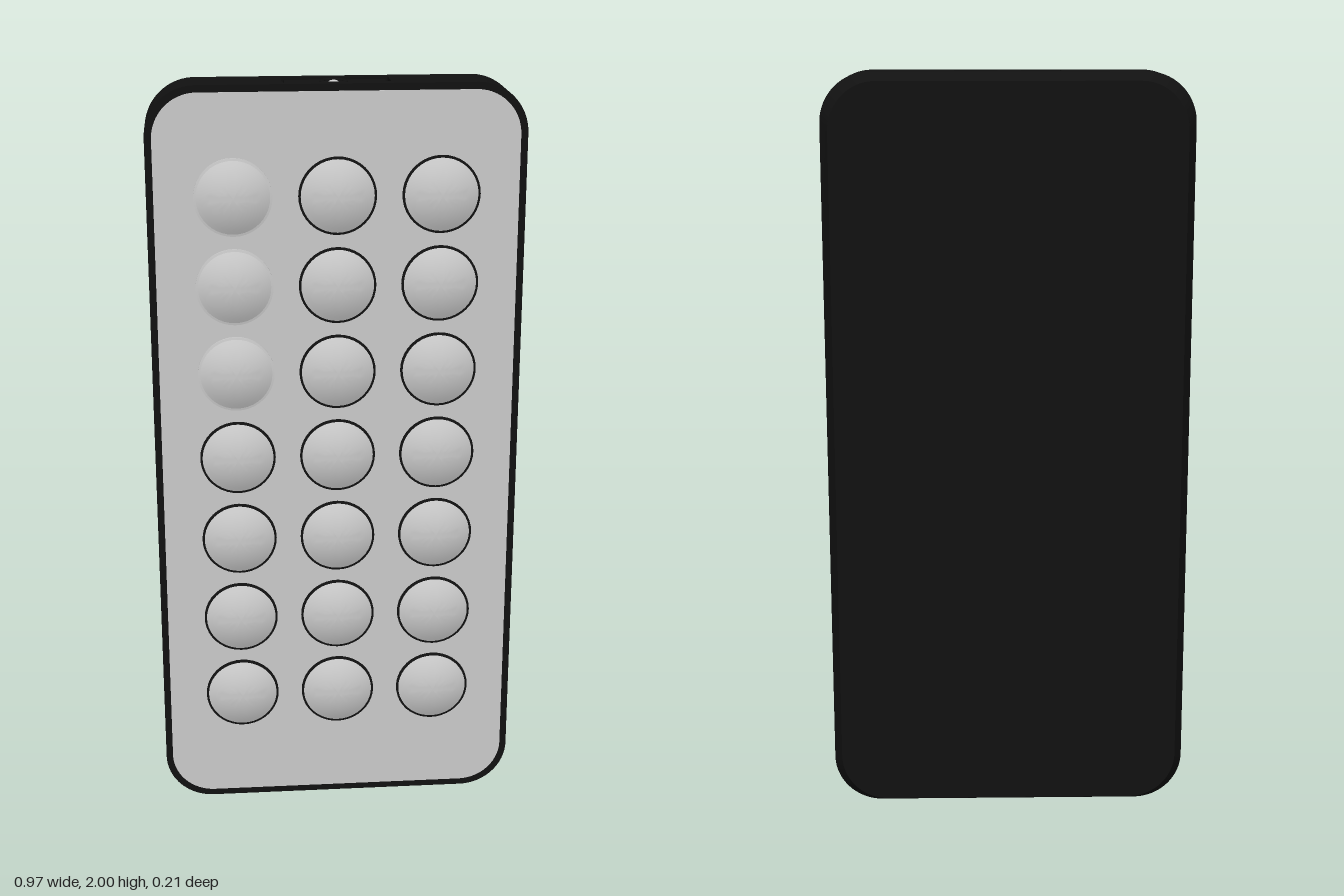
import * as THREE from 'three';
import { toCreasedNormals } from 'three/addons/utils/BufferGeometryUtils.js';

const black = new THREE.MeshStandardMaterial({ color: 0x111111 });
const grey = new THREE.MeshStandardMaterial({ color: 0xcccccc });

const HALF_W = 0.483, FRONT = 0.076, BACK = -0.108, CHAMFER = -0.065;

// Rounded upright outline, optionally with a notch cut into its top edge
function outline(inset, radius, notch = 0, depth = 0) {
  const w = HALF_W - inset, b = inset, t = 2 - inset, r = radius;
  const s = new THREE.Shape();
  s.moveTo(-w + r, b);
  s.lineTo(w - r, b);
  s.absarc(w - r, b + r, r, -Math.PI / 2, 0);
  s.absarc(w - r, t - r, r, 0, Math.PI / 2);
  if (notch) {
    s.lineTo(notch, t);
    s.lineTo(notch, t - depth);
    s.lineTo(-notch, t - depth);
    s.lineTo(-notch, t);
  }
  s.absarc(-w + r, t - r, r, Math.PI / 2, Math.PI);
  s.absarc(-w + r, b + r, r, Math.PI, Math.PI * 1.5);
  return s;
}

// Slab of an outline between two depths
function slab(shape, z0, z1) {
  const g = new THREE.ExtrudeGeometry(shape, { depth: z1 - z0, bevelEnabled: false, curveSegments: 10 });
  return g.translate(0, 0, z0);
}

function add(parent, name, geometry, material, x = 0, y = 0, z = 0) {
  const m = new THREE.Mesh(geometry, material);
  m.name = name;
  m.position.set(x, y, z);
  parent.add(m);
  return m;
}

// Profile spun around the z axis
function spun(points) {
  const g = new THREE.LatheGeometry(points.map(p => new THREE.Vector2(...p)), 40);
  return toCreasedNormals(g.rotateX(Math.PI / 2), 0.5);
}

export function createModel() {
  const model = new THREE.Group();
  model.name = 'remoteControl';

  // Casing in layers, the middle one notched for the transmitter window
  const casing = new THREE.Group();
  casing.name = 'casing';
  model.add(casing);
  const full = outline(0, 0.13);
  add(casing, 'casingFront', toCreasedNormals(slab(full, 0.048, FRONT), 0.5), black);
  add(casing, 'casingMiddle', toCreasedNormals(slab(outline(0, 0.13, 0.137, 0.012), -0.043, 0.048), 0.5), black);
  add(casing, 'casingRear', toCreasedNormals(slab(full, CHAMFER, -0.043), 0.5), black);

  // Back cover narrows towards the rear to form the chamfer
  const back = slab(full, BACK, CHAMFER);
  const p = back.attributes.position;
  for (let i = 0; i < p.count; i++) {
    if (p.getZ(i) < (BACK + CHAMFER) / 2) {
      p.setX(i, p.getX(i) * 0.953);
      p.setY(i, 1 + (p.getY(i) - 1) * 0.978);
    }
  }
  add(casing, 'backCover', toCreasedNormals(back, 0.4), black);

  // Face plate
  add(model, 'facePlate', slab(outline(0.018, 0.115), FRONT - 0.004, FRONT + 0.001), grey);

  // Transmitter window, collar and lamp
  const transmitter = new THREE.Group();
  transmitter.name = 'transmitter';
  transmitter.position.set(-0.004, 1.988, 0.003);
  model.add(transmitter);
  add(transmitter, 'windowPlate', new THREE.BoxGeometry(0.258, 0.006, 0.076), black, 0.004, 0.003, 0);
  add(transmitter, 'lampCollar', new THREE.TorusGeometry(0.031, 0.005, 8, 32).rotateX(Math.PI / 2), black, 0, 0.006, 0);
  add(transmitter, 'lamp', new THREE.SphereGeometry(0.023, 24, 16), grey, 0, -0.012, 0);

  // Domed buttons in black collars; the upper three on the right have grey collars
  const dome = [[0.094, 0.007]];
  for (let i = 1; i <= 8; i++) {
    const r = 0.094 * (1 - i / 8);
    dome.push([r, 0.007 + 0.022 * (1 - (r / 0.094) ** 2)]);
  }
  const domeGeometry = spun(dome);
  const collarGeometry = spun([[0.1, -0.002], [0.1, 0.006], [0.094, 0.007]]);
  for (let row = 0; row < 7; row++) {
    for (let col = 0; col < 3; col++) {
      const button = new THREE.Group();
      button.name = `button_${row + 1}_${col + 1}`;
      button.position.set((col - 1) * 0.265, 1.719 - row * 0.2325, FRONT);
      add(button, 'buttonCollar', collarGeometry, col === 0 && row < 3 ? grey : black);
      add(button, 'buttonDome', domeGeometry, grey);
      model.add(button);
    }
  }
  return model;
}
